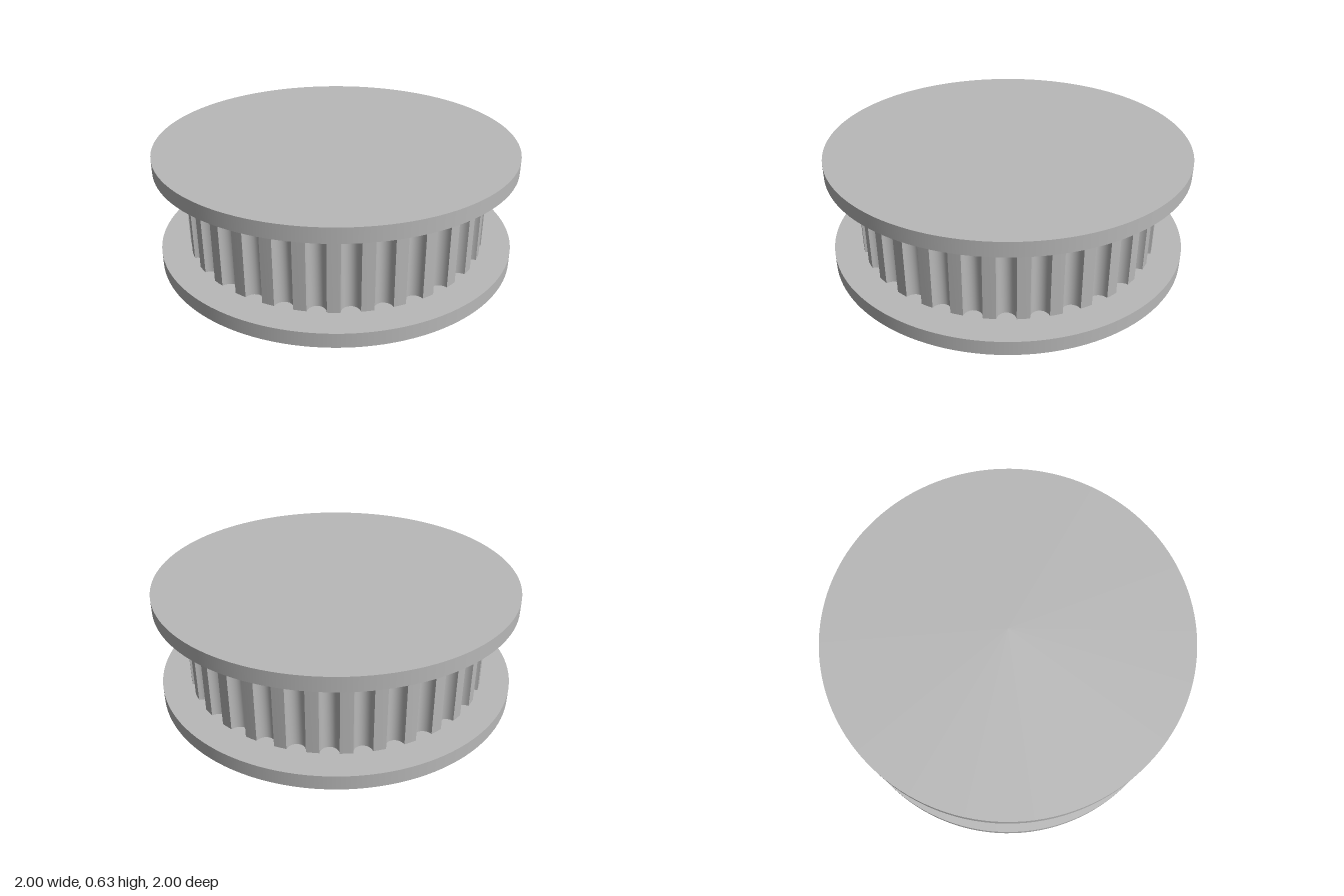
import * as THREE from 'three';
import { toCreasedNormals } from 'three/addons/utils/BufferGeometryUtils.js';

const TEETH = 32;
const TOOTH_RADIUS = 0.84;
const GROOVE_DEPTH = 0.052;
const GROOVE_SHARE = 0.6; // part of each pitch taken by the groove
const FLANGE_HEIGHT = 0.08;
const TOTAL_HEIGHT = 0.635;

// Outline of the toothed drum: flat-topped lands between rounded grooves
function drumShape() {
  const pitch = (Math.PI * 2) / TEETH;
  const half = (pitch * GROOVE_SHARE) / 2;
  const steps = 10;
  const points = [];
  for (let i = 0; i < TEETH; i++) {
    for (let j = 0; j <= steps; j++) {
      const t = -Math.cos((j / steps) * Math.PI); // -1 to 1 across the groove
      const radius = TOOTH_RADIUS - GROOVE_DEPTH * Math.sqrt(Math.max(0, 1 - t * t));
      const angle = i * pitch + t * half;
      points.push(new THREE.Vector2(radius * Math.cos(angle), radius * Math.sin(angle)));
    }
    // middle of the land
    const mid = (i + 0.5) * pitch;
    points.push(new THREE.Vector2(TOOTH_RADIUS * Math.cos(mid), TOOTH_RADIUS * Math.sin(mid)));
  }
  return new THREE.Shape(points);
}

export function createModel() {
  const group = new THREE.Group();
  group.name = 'timingPulley';
  const metal = new THREE.MeshStandardMaterial({ color: 0xb8b8b8 });
  metal.name = 'grey metal';

  // Toothed drum between the flanges
  const drumHeight = TOTAL_HEIGHT - 2 * FLANGE_HEIGHT;
  let drumGeometry = new THREE.ExtrudeGeometry(drumShape(), { depth: drumHeight, bevelEnabled: false });
  drumGeometry.rotateX(-Math.PI / 2);
  drumGeometry = toCreasedNormals(drumGeometry, 0.6);
  const drum = new THREE.Mesh(drumGeometry, metal);
  drum.name = 'toothedDrum';
  drum.position.y = FLANGE_HEIGHT;
  group.add(drum);

  // Plain disc flanges
  const flangeGeometry = new THREE.CylinderGeometry(1, 1, FLANGE_HEIGHT, 128);
  for (const [name, y] of [
    ['bottomFlange', FLANGE_HEIGHT / 2],
    ['topFlange', TOTAL_HEIGHT - FLANGE_HEIGHT / 2],
  ]) {
    const flange = new THREE.Mesh(flangeGeometry, metal);
    flange.name = name;
    flange.position.y = y;
    group.add(flange);
  }
  return group;
}
